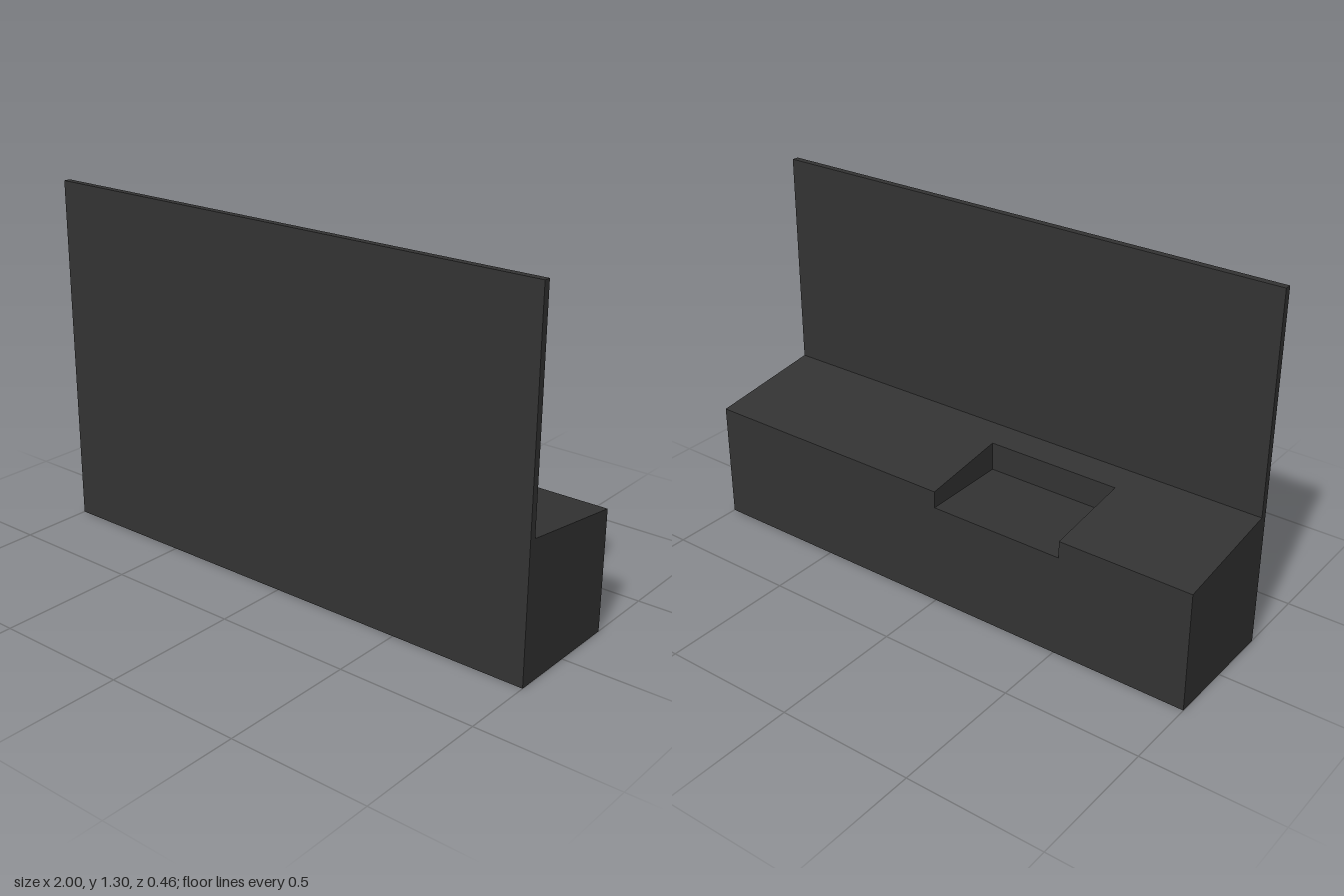
import * as THREE from 'three';

const HALF = 0.23;       // half depth
const PANEL_Z = 0.205;   // rear face of the front panel
const RECESS_Z = 0.1;    // inner wall of the recess
const FLOOR_Y = 0.38;    // recess floor
const TOP_HIGH = 0.5, TOP_LOW = 0.443;

// Height of the sloping counter top at depth z
const topAt = (z) => THREE.MathUtils.mapLinear(z, -HALF, PANEL_Z, TOP_LOW, TOP_HIGH);

// Extrude a [z, y] profile along x from x0 to x1
function section(name, profile, x0, x1, material) {
  const shape = new THREE.Shape(profile.map(([z, y]) => new THREE.Vector2(-z, y)));
  const geometry = new THREE.ExtrudeGeometry(shape, { depth: x1 - x0, bevelEnabled: false });
  geometry.rotateY(Math.PI / 2).translate(x0, 0, 0);
  const mesh = new THREE.Mesh(geometry, material);
  mesh.name = name;
  return mesh;
}

export function createModel() {
  const group = new THREE.Group();
  group.name = 'counter';
  const charcoal = new THREE.MeshStandardMaterial({ color: 0x333333 });
  charcoal.name = 'charcoal';

  // Tall thin front panel
  const panel = new THREE.Mesh(new THREE.BoxGeometry(2, 1.3, HALF - PANEL_Z), charcoal);
  panel.position.set(0, 0.65, (HALF + PANEL_Z) / 2);
  panel.name = 'frontPanel';
  group.add(panel);

  // Sloping counter body on both sides of the recess
  const full = [[PANEL_Z, 0], [PANEL_Z, TOP_HIGH], [-HALF, TOP_LOW], [-HALF, 0]];
  group.add(section('counterRight', full, -1, -0.51, charcoal));
  group.add(section('counterLeft', full, 0, 1, charcoal));

  // Middle part with a flat-floored recess open at the back
  const recessed = [
    [PANEL_Z, 0], [PANEL_Z, TOP_HIGH], [RECESS_Z, topAt(RECESS_Z)],
    [RECESS_Z, FLOOR_Y], [-HALF, FLOOR_Y], [-HALF, 0],
  ];
  group.add(section('counterRecess', recessed, -0.51, 0, charcoal));

  return group;
}
